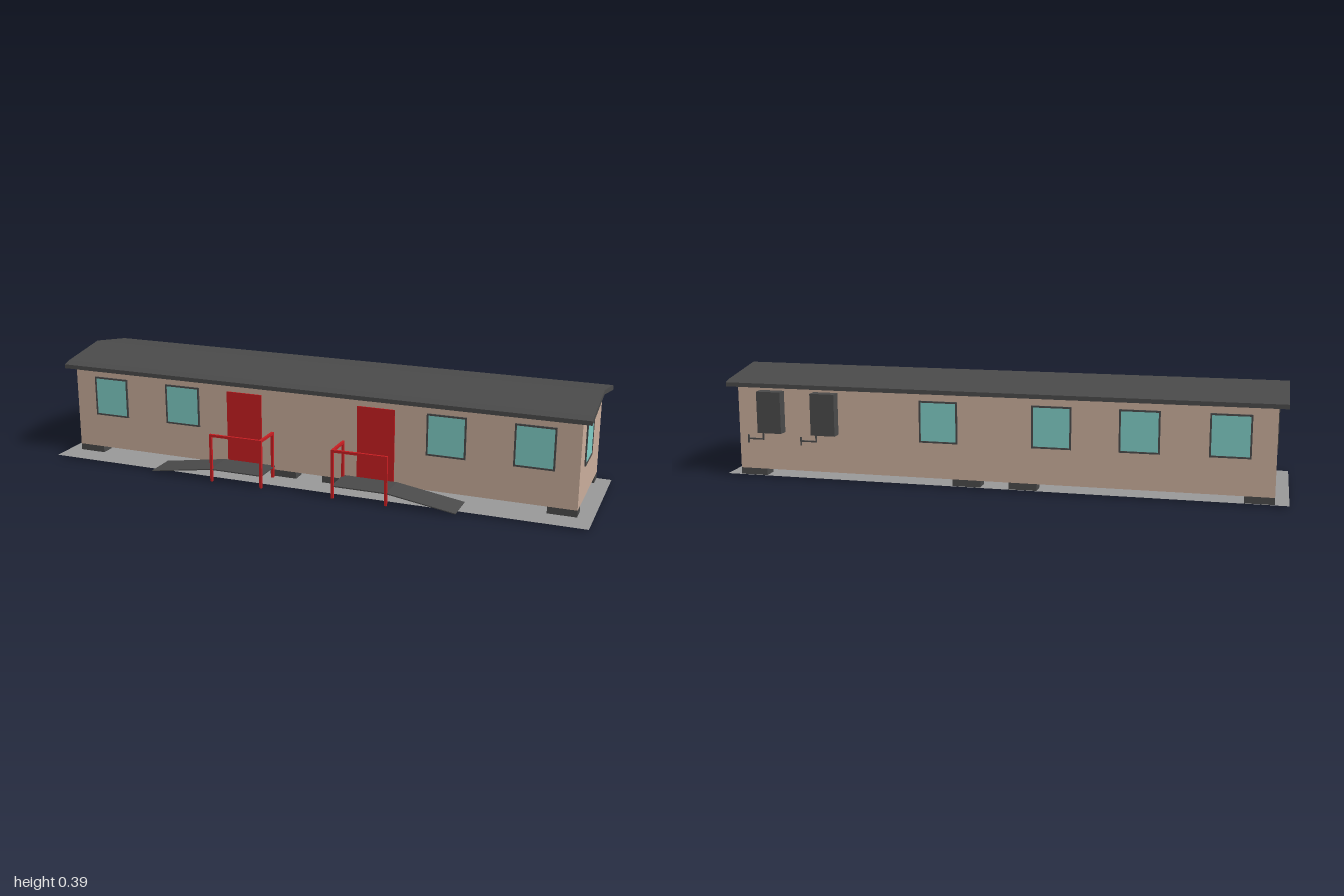
import * as THREE from 'three';

const mat = (color, side = THREE.FrontSide) =>
  new THREE.MeshStandardMaterial({ color, side, flatShading: true });

export function createModel() {
  const model = new THREE.Group();
  const cabin = new THREE.Group();
  cabin.name = 'cabin';
  cabin.position.x = -0.003;
  model.add(cabin);

  const dark = mat(0x4a4a4a), wall = mat(0xc9ad9b), glass = mat(0x7fcdc6), red = mat(0xc81e22);

  const add = (parent, name, geometry, material) => {
    const mesh = new THREE.Mesh(geometry, material);
    mesh.name = name;
    parent.add(mesh);
    return mesh;
  };
  // Box given by its lower and upper corners
  const box = (parent, name, material, x0, x1, y0, y1, z0, z1) => {
    const mesh = add(parent, name, new THREE.BoxGeometry(x1 - x0, y1 - y0, z1 - z0), material);
    mesh.position.set((x0 + x1) / 2, (y0 + y1) / 2, (z0 + z1) / 2);
    return mesh;
  };
  // Cross-section of [z, y] points, extruded along x and centred on x = 0
  const alongX = (points, length) => {
    const shape = new THREE.Shape(points.map(([z, y]) => new THREE.Vector2(-z, y)));
    return new THREE.ExtrudeGeometry(shape, { depth: length, bevelEnabled: false })
      .translate(0, 0, -length / 2).rotateY(Math.PI / 2);
  };

  // Ground sheet
  const ground = add(model, 'ground', new THREE.PlaneGeometry(2, 0.496), mat(0x999999, THREE.DoubleSide));
  ground.rotation.x = -Math.PI / 2;
  ground.position.set(0, 0.006, 0.002);

  // Gabled body and roof slab
  const ridge = -0.041;
  add(cabin, 'walls', alongX(
    [[0.159, 0.03], [0.159, 0.338], [ridge, 0.375], [-0.241, 0.338], [-0.241, 0.03]], 1.9), wall);
  const half = [[0.229, 0.333], [0.229, 0.348], [0.2, 0.357]];
  add(cabin, 'roof', alongX([
    ...half.map(([d, y]) => [ridge + d, y]), [ridge, 0.39],
    ...half.map(([d, y]) => [ridge - d, y]).reverse(), [ridge, 0.375],
  ], 1.965), dark);

  // Foundation blocks
  for (const x of [-0.9, -0.1, 0.1, 0.9]) {
    for (const z of [0.134, -0.216]) {
      box(cabin, 'foundationBlock', dark, x - 0.05, x + 0.05, 0.006, 0.03, z - 0.025, z + 0.025);
    }
  }

  // Windows: a frame with a hole and a slightly recessed pane
  const w = 0.069, h = 0.074, rim = 0.006;
  const rect = (path, a, b) => path.moveTo(-a, -b).lineTo(a, -b).lineTo(a, b).lineTo(-a, b).closePath();
  const frameShape = rect(new THREE.Shape(), w, h);
  frameShape.holes.push(rect(new THREE.Path(), w - rim, h - rim));
  const frameGeometry = new THREE.ExtrudeGeometry(frameShape, { depth: 0.005, bevelEnabled: false });
  const paneGeometry = new THREE.PlaneGeometry(2 * (w - rim), 2 * (h - rim));
  const addWindow = (x, z, turn) => {
    const unit = new THREE.Group();
    unit.name = 'window';
    add(unit, 'windowFrame', frameGeometry, dark);
    add(unit, 'windowPane', paneGeometry, glass).position.z = 0.003;
    unit.position.set(x, 0.231, z);
    unit.rotation.y = turn;
    cabin.add(unit);
  };
  for (const x of [-0.8, -0.5, 0.5, 0.8]) addWindow(x, 0.159, 0);
  for (const x of [-0.8, -0.5, -0.2, 0.2]) addWindow(x, -0.241, Math.PI);
  addWindow(0.95, 0.009, Math.PI / 2);
  addWindow(-0.95, 0.009, -Math.PI / 2);

  // Two entrances, mirrored: door, landing with ramp, and railing
  for (const s of [-1, 1]) {
    const entrance = new THREE.Group();
    entrance.name = s < 0 ? 'rightEntrance' : 'leftEntrance';
    cabin.add(entrance);
    const span = (name, material, a, b, ...rest) =>
      box(entrance, name, material, Math.min(s * a, s * b), Math.max(s * a, s * b), ...rest);

    span('door', red, 0.182, 0.318, 0.046, 0.304, 0.158, 0.163);

    const profile = [[0.132, 0.046], [0.33, 0.046], [0.572, 0.008],
      [0.572, 0.005], [0.33, 0.042], [0.132, 0.042]];
    const ramp = new THREE.Shape(profile.map(([x, y]) => new THREE.Vector2(s * x, y)));
    add(entrance, 'landingAndRamp',
      new THREE.ExtrudeGeometry(ramp, { depth: 0.116, bevelEnabled: false }), dark).position.z = 0.162;

    const t = 0.0045, inner = 0.135, outer = 0.328, front = 0.276, back = 0.175;
    for (const [x, z] of [[inner, front], [outer, front], [inner, back]]) {
      span('railPost', red, x - t, x + t, 0, 0.168, z - t, z + t);
    }
    span('frontRail', red, inner - t, outer + t, 0.167, 0.176, front - t, front + t);
    span('sideRail', red, inner - t, inner + t, 0.167, 0.176, back - t, front - t);
  }

  // Air conditioners on the back wall, each with a drain pipe
  for (const x of [0.615, 0.818]) {
    box(cabin, 'airConditioner', dark, x - 0.045, x + 0.045, 0.17, 0.32, -0.279, -0.241);
    const z0 = -0.246, z1 = -0.241;
    box(cabin, 'drainPipe', dark, x + 0.037, x + 0.042, 0.14, 0.17, z0, z1);
    box(cabin, 'drainPipe', dark, x + 0.037, x + 0.1, 0.138, 0.143, z0, z1);
    box(cabin, 'drainOutlet', dark, x + 0.095, x + 0.1, 0.125, 0.155, z0, z1);
  }

  return model;
}
